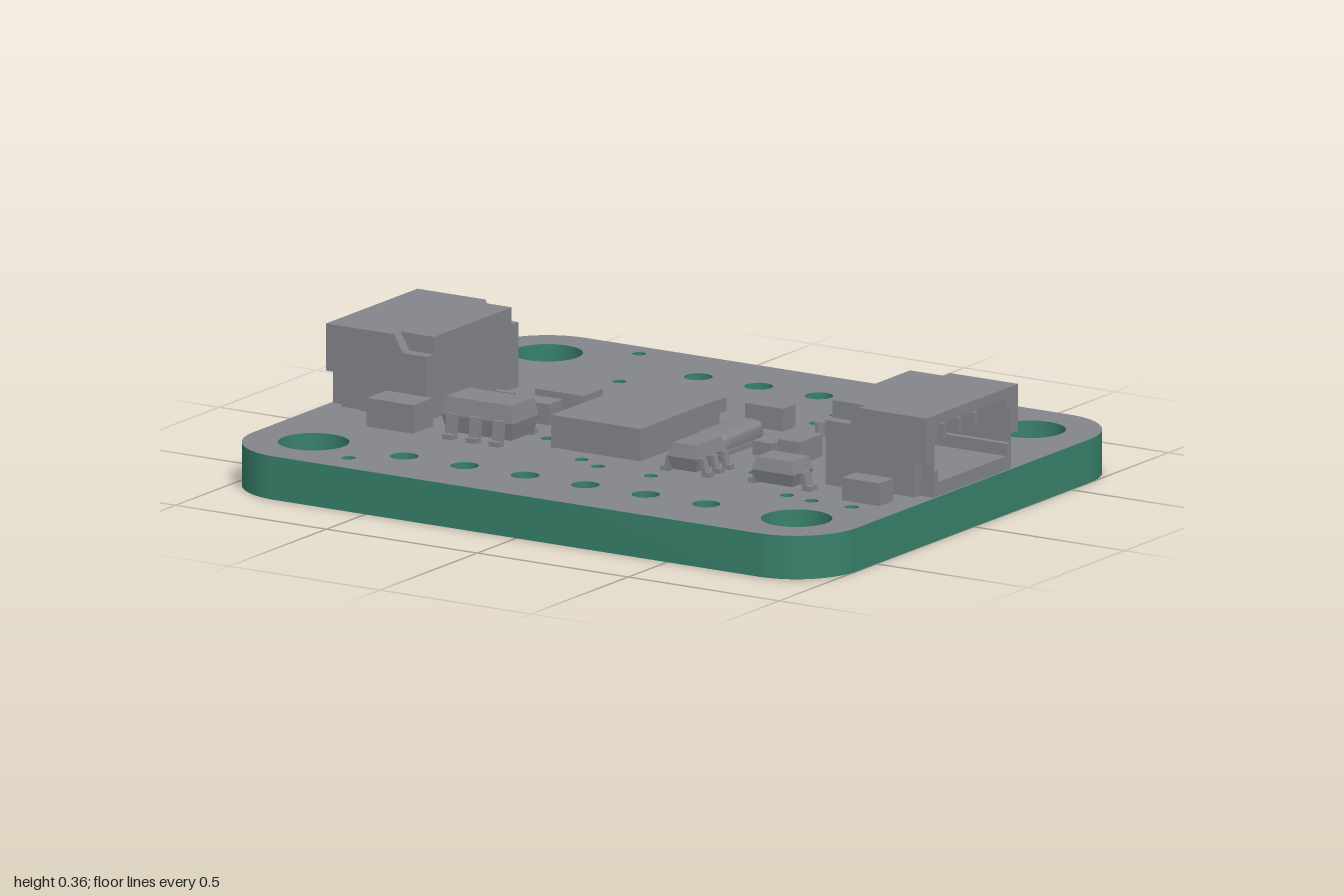
import * as THREE from 'three';
import { toCreasedNormals } from 'three/addons/utils/BufferGeometryUtils.js';

const TOP = 0.125; // upper face of the board

export function createModel() {
  const model = new THREE.Group();
  model.name = 'circuitBoard';
  const green = new THREE.MeshStandardMaterial({ color: 0x38806a });
  green.name = 'board green';
  const grey = new THREE.MeshStandardMaterial({ color: 0x83858a });
  grey.name = 'component grey';

  const add = (parent, name, geo, mat = grey) => {
    const mesh = new THREE.Mesh(geo, mat);
    mesh.name = name;
    parent.add(mesh);
    return mesh;
  };
  const group = (name) => {
    const g = new THREE.Group();
    g.name = name;
    model.add(g);
    return g;
  };
  // box given by its limits
  const block = (parent, name, x0, x1, y0, y1, z0, z1) => {
    const mesh = add(parent, name, new THREE.BoxGeometry(x1 - x0, y1 - y0, z1 - z0));
    mesh.position.set((x0 + x1) / 2, (y0 + y1) / 2, (z0 + z1) / 2);
    return mesh;
  };
  const polygon = (pts) => new THREE.Shape(pts.map(([x, y]) => new THREE.Vector2(x, y)));
  const extrude = (shape, depth, curveSegments = 12) =>
    new THREE.ExtrudeGeometry(shape, { depth, bevelEnabled: false, curveSegments });

  // Board outline with mounting holes, pin holes and vias
  const outline = new THREE.Shape();
  outline.moveTo(-0.8, -0.8);
  outline.lineTo(0.8, -0.8);
  outline.absarc(0.8, -0.6, 0.2, -Math.PI / 2, 0);
  outline.absarc(0.8, 0.6, 0.2, 0, Math.PI / 2);
  outline.absarc(-0.8, 0.6, 0.2, Math.PI / 2, Math.PI);
  outline.absarc(-0.8, -0.6, 0.2, Math.PI, Math.PI * 1.5);
  const drill = (x, z, r) => {
    const hole = new THREE.Path();
    hole.absarc(x, -z, r, 0, Math.PI * 2, true);
    outline.holes.push(hole);
  };
  for (const x of [-0.8, 0.8]) for (const z of [-0.6, 0.6]) drill(x, z, 0.1);
  for (const x of [-0.3, -0.1, 0.1, 0.3]) drill(x, -0.6, 0.04);
  for (const x of [-0.5, -0.3, -0.1, 0.1, 0.3, 0.5]) drill(x, 0.6, 0.04);
  [[-0.58, -0.73], [0.58, -0.68], [-0.455, -0.435], [0.064, -0.415], [0.262, -0.44],
    [0.262, -0.335], [0.49, -0.425], [0.66, -0.34], [0.79, -0.335], [-0.445, -0.245],
    [-0.337, -0.24], [-0.42, 0.145], [-0.262, 0.135], [-0.273, 0.215], [0.422, 0.225],
    [-0.064, 0.365], [0.016, 0.405], [0.198, 0.415], [0.636, 0.395], [0.727, 0.41],
    [0.86, 0.41], [-0.62, 0.7]].forEach(([x, z]) => drill(x, z, 0.02));
  const slab = extrude(outline, TOP - 0.001, 16).rotateX(-Math.PI / 2);
  add(model, 'board', toCreasedNormals(slab, 0.6), green);
  add(model, 'boardTopFace', new THREE.ShapeGeometry(outline, 16).rotateX(-Math.PI / 2)).position.y = TOP;

  // Side-entry sockets, the second one turned to the opposite edge
  const cheek = polygon([[0.66, TOP], [0.88, TOP], [0.88, 0.17], [0.955, 0.17], [0.955, 0.225],
    [0.995, 0.225], [0.995, 0.36], [0.77, 0.36], [0.74, 0.31], [0.66, 0.31]]);
  const mouth = polygon([[-0.2, TOP], [0.2, TOP], [0.2, 0.36], [-0.2, 0.36]]);
  mouth.holes.push(polygon([[-0.175, 0.165], [-0.175, 0.2], [-0.195, 0.2], [-0.195, 0.295],
    [-0.175, 0.295], [-0.175, 0.33], [0.175, 0.33], [0.175, 0.295], [0.195, 0.295],
    [0.195, 0.2], [0.175, 0.2], [0.175, 0.165]]));
  for (const [name, turn] of [['leftSocket', 0], ['rightSocket', Math.PI]]) {
    const socket = group(name);
    socket.rotation.y = turn;
    add(socket, 'socketShell', extrude(mouth, 0.295).rotateY(Math.PI / 2)).position.x = 0.7;
    block(socket, 'socketBack', 0.66, 0.7, TOP, 0.36, -0.2, 0.2);
    for (const s of [-1, 1]) {
      add(socket, 'socketCheek', extrude(cheek, 0.035)).position.z = s > 0 ? 0.2 : -0.235;
      block(socket, 'solderTab', 0.88, 0.95, TOP, 0.168, s * 0.212 - 0.012, s * 0.212 + 0.012);
    }
    for (const z of [-0.12, -0.04, 0.04, 0.12]) {
      block(socket, 'contactPin', 0.69, 0.93, 0.255, 0.295, z - 0.008, z + 0.008);
      block(socket, 'contactTail', 0.6, 0.67, TOP, 0.14, z - 0.009, z + 0.009);
    }
  }

  // Plain rectangular chips: x0, x1, z0, z1, top
  block(model, 'mainChip', -0.21, 0.086, TOP, 0.218, -0.11, 0.295);
  [[-0.47, -0.31, -0.125, -0.025, 0.19], [-0.475, -0.35, 0.02, 0.09, 0.185],
    [-0.77, -0.615, 0.275, 0.375, 0.207], [0.795, 0.92, 0.29, 0.36, 0.19],
    [0.11, 0.235, -0.27, -0.205, 0.19], [0.305, 0.37, -0.07, 0.06, 0.165],
    [0.41, 0.48, -0.03, 0.09, 0.19],
  ].forEach(([x0, x1, z0, z1, y]) => block(model, 'smallChip', x0, x1, TOP, y, z0, z1));

  // Resistor arrays with scalloped long edges
  for (const [cx, cz] of [[-0.145, -0.255], [0.46, -0.27]]) {
    const s = new THREE.Shape();
    const w = 0.122, h = 0.06, n = 4, step = (2 * w) / n;
    s.moveTo(-w, -h);
    for (const d of [1, -1]) {
      for (let i = 0; i < n; i++) {
        const a = d * (-w + i * step);
        s.lineTo(a + d * 0.012, -d * h);
        s.quadraticCurveTo(a + d * step / 2, -d * (h - 0.02), a + d * (step - 0.012), -d * h);
      }
      s.lineTo(d * w, -d * h);
      s.lineTo(d * w, d * h);
    }
    add(model, 'resistorArray', extrude(s, 0.04, 6).rotateX(-Math.PI / 2)).position.set(cx, TOP, cz);
  }

  // Moulded package: widest at mid height, narrower above and below
  const moulded = (parent, x0, x1, z0, z1, y0, y1) => {
    const geo = new THREE.BoxGeometry(x1 - x0, y1 - y0, z1 - z0, 1, 2, 1);
    const p = geo.attributes.position;
    for (let i = 0; i < p.count; i++) {
      if (Math.abs(p.getY(i)) < 1e-4) continue;
      p.setX(i, p.getX(i) - Math.sign(p.getX(i)) * 0.01);
      p.setZ(i, p.getZ(i) - Math.sign(p.getZ(i)) * 0.01);
    }
    const flat = geo.toNonIndexed();
    flat.computeVertexNormals();
    add(parent, 'packageBody', flat).position.set((x0 + x1) / 2, (y0 + y1) / 2, (z0 + z1) / 2);
  };
  // Bent lead reaching outward from (x, z) in the direction of the angle
  const lead = (parent, x, z, angle, width, rise = 0.05, reach = 0.036) => {
    const geo = extrude(polygon([[-0.012, rise - 0.014], [0.004, rise - 0.014], [0.01, 0],
      [reach, 0], [reach, 0.014], [0.022, 0.014], [0.014, rise], [-0.012, rise]]), width);
    geo.translate(0, 0, -width / 2);
    const mesh = add(parent, 'lead', geo);
    mesh.position.set(x, TOP, z);
    mesh.rotation.y = angle;
  };

  const regulator = group('regulator');
  moulded(regulator, -0.54, -0.304, 0.213, 0.347, 0.138, 0.238);
  for (const x of [-0.5, -0.422, -0.346]) lead(regulator, x, 0.343, -Math.PI / 2, 0.034, 0.07);
  for (const x of [-0.5, -0.346]) lead(regulator, x, 0.217, Math.PI / 2, 0.034, 0.07);

  const transistorPair = group('transistorPair');
  moulded(transistorPair, 0.22, 0.315, 0.208, 0.362, 0.136, 0.212);
  for (const z of [0.232, 0.285, 0.338]) {
    lead(transistorPair, 0.314, z, 0, 0.022);
    lead(transistorPair, 0.221, z, Math.PI, 0.022);
  }

  const diode = group('diode');
  moulded(diode, 0.498, 0.637, 0.26, 0.364, 0.138, 0.21);
  lead(diode, 0.635, 0.312, 0, 0.036);
  lead(diode, 0.5, 0.312, Math.PI, 0.036);

  // Indicator with end terminals and a raised middle
  const indicator = group('indicator');
  block(indicator, 'indicatorBody', -0.915, -0.835, TOP, 0.175, -0.365, -0.305);
  for (const x of [-0.925, -0.825]) {
    block(indicator, 'indicatorBase', x - 0.012, x + 0.012, TOP, 0.15, -0.35, -0.32);
    for (const z of [-0.36, -0.31]) block(indicator, 'indicatorPad', x - 0.012, x + 0.012, TOP, 0.14, z - 0.006, z + 0.006);
  }

  // Resonator: flat base with a rounded can on top
  const resonator = group('resonator');
  block(resonator, 'resonatorBase', 0.14, 0.257, TOP, 0.14, -0.1, 0.13);
  block(resonator, 'resonatorTabs', 0.165, 0.232, TOP, 0.138, -0.12, 0.15);
  const can = new THREE.Shape();
  can.absarc(0, 0.07, 0.043, 0, Math.PI);
  can.absarc(0, -0.07, 0.043, Math.PI, Math.PI * 2);
  const canGeo = new THREE.ExtrudeGeometry(can, {
    depth: 0.028, bevelThickness: 0.012, bevelSize: 0.012, bevelSegments: 3, curveSegments: 10,
  }).rotateX(-Math.PI / 2);
  add(resonator, 'resonatorCan', toCreasedNormals(canGeo, 0.6)).position.set(0.198, 0.14, 0.014);

  return model;
}
